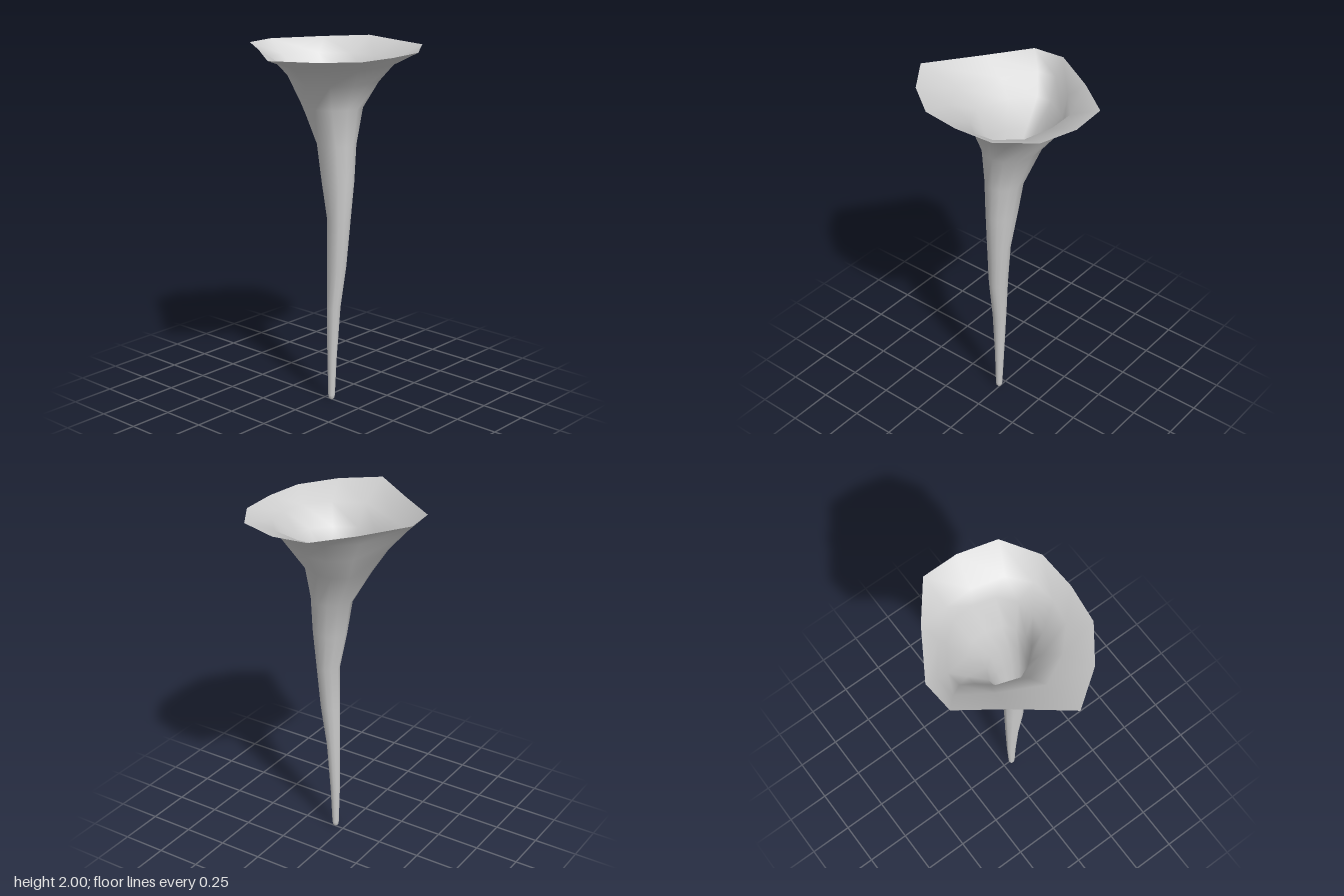
import * as THREE from 'three';

// Ragged outline of the open mouth (x, z), clockwise from the back
const RIM = [
  [-0.14, -0.425], [0.04, -0.44], [0.3, -0.28], [0.505, -0.12], [0.51, 0.085], [0.45, 0.3],
  [0.255, 0.427], [0.035, 0.437], [-0.18, 0.408], [-0.37, 0.268], [-0.51, 0.07], [-0.3, -0.2],
];
const RIM_Y = [2, 2, 2, 2, 1.99, 1.995, 1.985, 1.985, 1.985, 1.99, 1.995, 2];

// Cross-sections: height, min x, max x, min z, max z, share of the rim's ragged shape
const RINGS = [
  [0.004, -0.014, 0.004, 0.044, 0.062, 0],
  [0.012, -0.021, 0.011, 0.037, 0.069, 0],
  [0.03, -0.024, 0.015, 0.034, 0.072, 0],
  [0.25, -0.027, 0.025, 0.025, 0.08, 0],
  [0.55, -0.035, 0.045, 0.021, 0.097, 0],
  [0.8, -0.04, 0.062, 0.018, 0.132, 0],
  [1.06, -0.045, 0.087, 0.015, 0.147, 0.1],
  [1.28, -0.055, 0.112, -0.035, 0.162, 0.1],
  [1.48, -0.07, 0.137, -0.07, 0.163, 0.2],
  [1.68, -0.11, 0.2, -0.19, 0.18, 0.4],
  [1.82, -0.18, 0.305, -0.285, 0.24, 0.6],
  [1.92, -0.29, 0.34, -0.365, 0.34, 0.8],
];

function ringPoints([y, x0, x1, z0, z1, ragged]) {
  return RIM.map(([rx, rz]) => {
    const u = rx / 0.51, v = rz / 0.44, r = Math.hypot(u, v);
    const k = (1 - ragged) / r + ragged;
    return [(x0 + x1) / 2 + (x1 - x0) / 2 * u * k, y, (z0 + z1) / 2 + (z1 - z0) / 2 * v * k];
  });
}

export function createModel() {
  const n = RIM.length;
  const rows = RINGS.map(ringPoints);
  rows.push(RIM.map(([x, z], i) => [x, RIM_Y[i], z]));

  // Skin between neighbouring rings
  const positions = rows.flat(2), index = [];
  for (let i = 0; i < rows.length - 1; i++) {
    for (let j = 0; j < n; j++) {
      const a = i * n + j, b = i * n + (j + 1) % n;
      index.push(a, a + n, b, b, a + n, b + n);
    }
  }

  // Rounded closed tip
  const tip = positions.length / 3;
  positions.push(-0.005, 0, 0.053);
  for (let j = 0; j < n; j++) index.push(tip, j, (j + 1) % n);

  const geometry = new THREE.BufferGeometry();
  geometry.setAttribute('position', new THREE.Float32BufferAttribute(positions, 3));
  geometry.setIndex(index);
  geometry.computeVertexNormals();

  const stalactite = new THREE.Mesh(
    geometry,
    new THREE.MeshStandardMaterial({ color: 0xcccccc, side: THREE.DoubleSide }),
  );
  stalactite.name = 'stalactite';
  const group = new THREE.Group();
  group.name = 'hangingStalactite';
  group.add(stalactite);
  return group;
}
